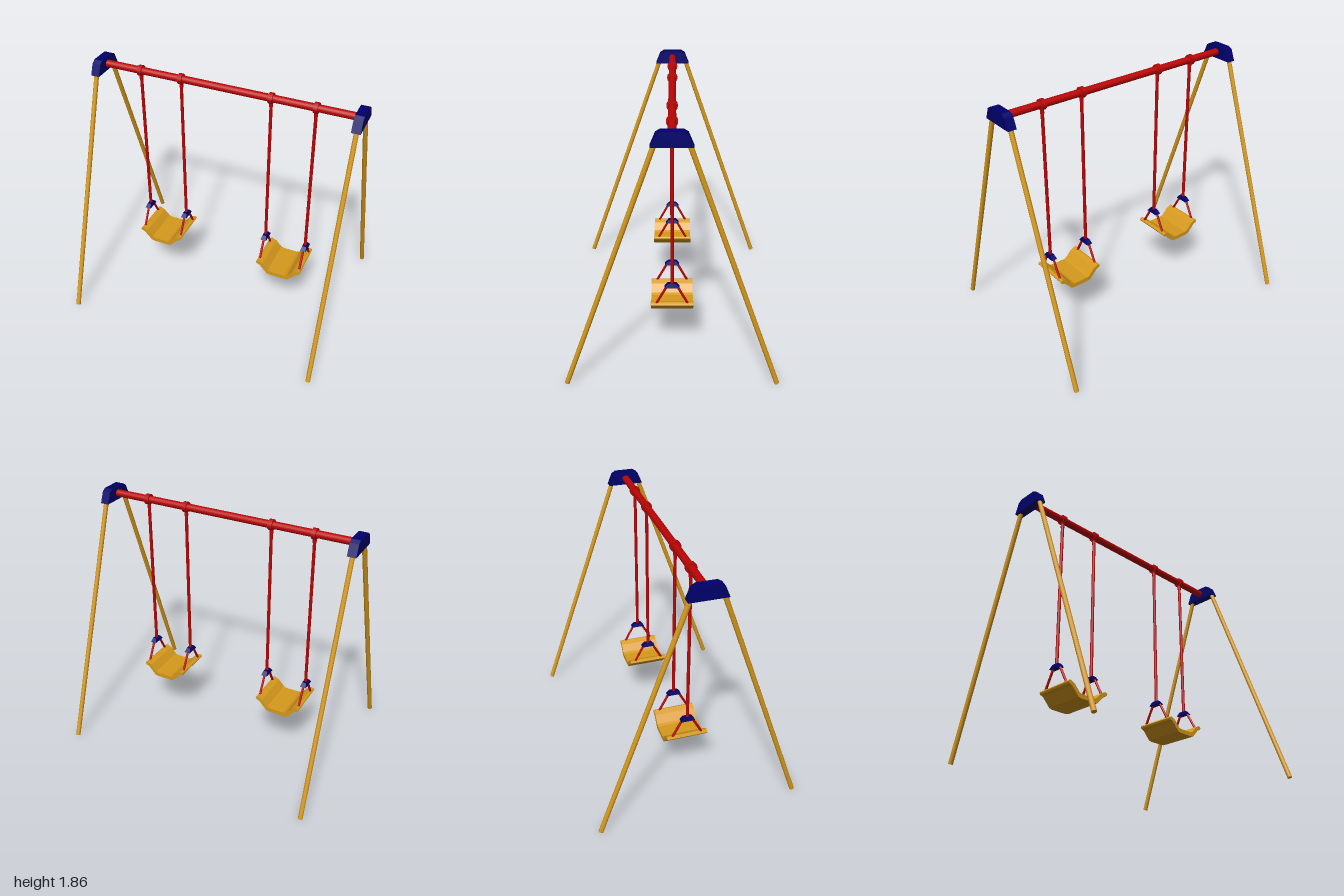
import * as THREE from 'three';

const mat = (name, color) => {
  const m = new THREE.MeshStandardMaterial({ color });
  m.name = name;
  return m;
};

export function createModel() {
  const red = mat('red paint', 0xbc0404);
  const navy = mat('navy plastic', 0x00006c);
  const wood = mat('ochre', 0xd6991c);
  const root = new THREE.Group();
  root.name = 'swingSet';

  const add = (name, geo, material, parent = root) => {
    const mesh = new THREE.Mesh(geo, material);
    mesh.name = name;
    parent.add(mesh);
    return mesh;
  };
  // Round bar between two points
  const bar = (name, a, b, r, material, parent, sides = 12) => {
    const from = new THREE.Vector3(...a), to = new THREE.Vector3(...b);
    const dir = to.clone().sub(from);
    const mesh = add(name, new THREE.CylinderGeometry(r, r, dir.length(), sides), material, parent);
    mesh.position.copy(from).add(to).multiplyScalar(0.5);
    mesh.quaternion.setFromUnitVectors(new THREE.Vector3(0, 1, 0), dir.normalize());
    return mesh;
  };
  // Extrusion of a half outline mirrored about the vertical axis, centred in depth
  const mirrored = (half, depth) => {
    const pts = [...half, ...half.slice().reverse().map(([x, y]) => [-x, y])];
    const shape = new THREE.Shape(pts.map(([x, y]) => new THREE.Vector2(x, y)));
    return new THREE.ExtrudeGeometry(shape, { depth, bevelEnabled: false }).translate(0, 0, -depth / 2);
  };

  // Top beam
  bar('topBeam', [-0.96, 1.811, 0], [0.96, 1.811, 0], 0.027, red, root, 20);

  // End caps and splayed legs
  const capGeo = mirrored([[0.134, 1.762], [0.1, 1.844], [0.07, 1.862]], 0.064).rotateY(Math.PI / 2);
  for (const s of [-1, 1]) {
    add('endCap', capGeo, navy).position.x = s * 0.968;
    for (const f of [-1, 1]) {
      bar('leg', [s * 0.968, 0.006, f * 0.728], [s * 0.968, 1.8, f * 0.098], 0.0172, wood, root);
    }
  }

  // Curved seat, extruded front to back
  const seatGeo = mirrored([
    [0.06, 0.36], [0.085, 0.365], [0.145, 0.43], [0.17, 0.44],
    [0.177, 0.452], [0.171, 0.463], [0.158, 0.467], [0.122, 0.449], [0.077, 0.4], [0.056, 0.392],
  ], 0.304);

  // Hanger bracket, tapering towards the rod
  const bracketGeo = new THREE.BoxGeometry(0.046, 0.03, 0.104).toNonIndexed();
  const p = bracketGeo.attributes.position;
  for (let i = 0; i < p.count; i++) {
    if (p.getY(i) > 0) p.setXYZ(i, p.getX(i) * 0.64, p.getY(i), p.getZ(i) * 0.56);
  }
  bracketGeo.computeVertexNormals();

  const collarGeo = new THREE.CylinderGeometry(0.039, 0.039, 0.032, 12).rotateZ(Math.PI / 2);

  for (const cx of [-0.5, 0.5]) {
    const swing = new THREE.Group();
    swing.name = 'swing';
    swing.position.x = cx;
    root.add(swing);
    add('seat', seatGeo, wood, swing);
    for (const s of [-1, 1]) {
      const x = s * 0.16;
      add('collar', collarGeo, red, swing).position.set(x, 1.811, 0);
      bar('collarStem', [x, 1.745, 0], [x, 1.79, 0], 0.014, red, swing);
      bar('hangerRod', [x, 0.61, 0], [x, 1.76, 0], 0.012, red, swing, 8);
      add('bracket', bracketGeo, navy, swing).position.set(x, 0.609, 0);
      for (const f of [-1, 1]) {
        bar('seatStrut', [x, 0.605, f * 0.033], [x, 0.457, f * 0.112], 0.009, red, swing, 8);
      }
    }
  }
  return root;
}
